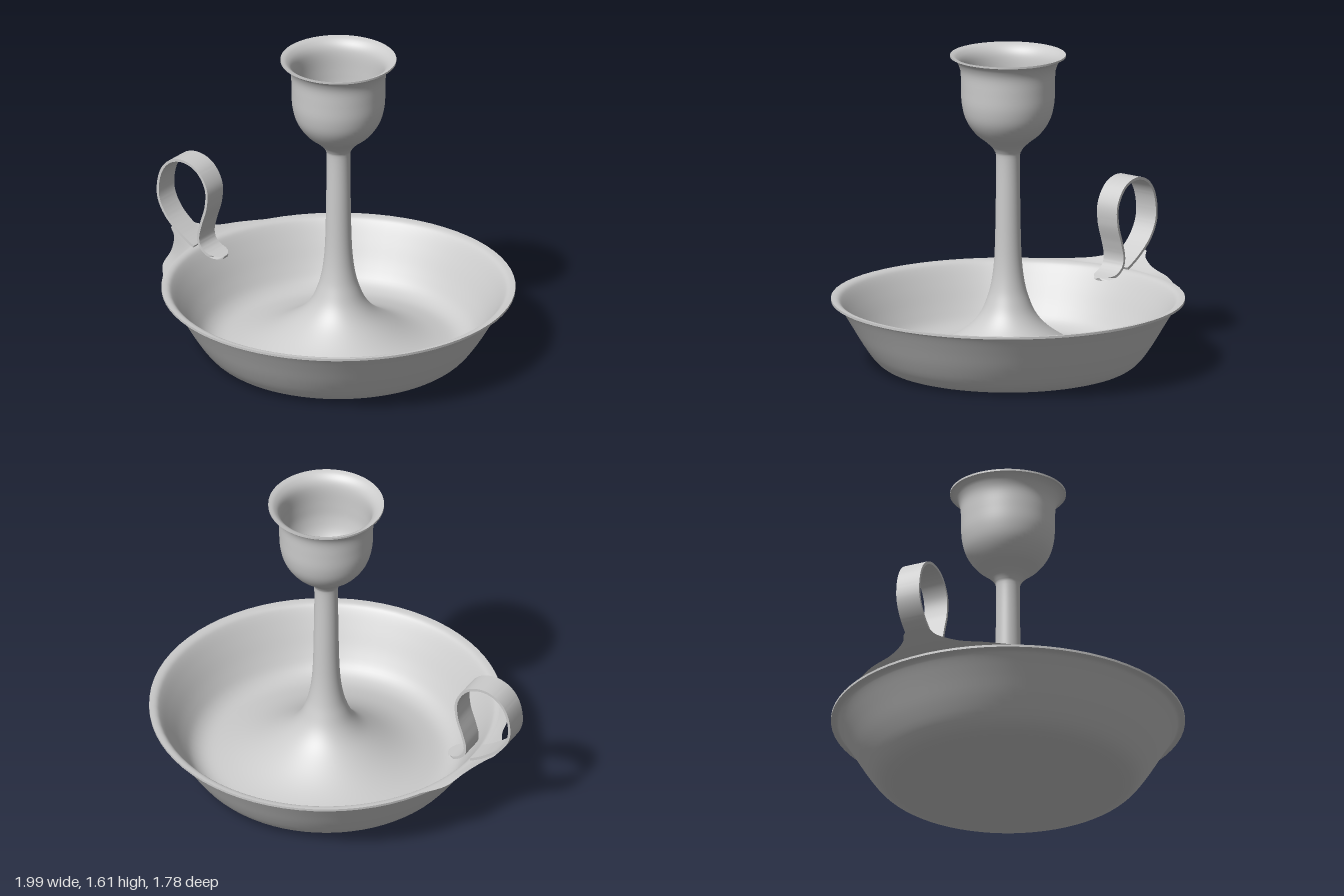
import * as THREE from 'three';
import { toCreasedNormals } from 'three/addons/utils/BufferGeometryUtils.js';
import { ParametricGeometry } from 'three/addons/geometries/ParametricGeometry.js';

const AXIS_X = 0.1; // the dish and stem stand off-centre, the handle balances them
const grey = new THREE.MeshStandardMaterial({ color: 0xcccccc });
const greyThin = new THREE.MeshStandardMaterial({ color: 0xcccccc, side: THREE.DoubleSide });

const vectors = (list) => list.map(([x, y]) => new THREE.Vector2(x, y));

// Turned surface from a profile of [radius, height]; smooth profiles run through a spline
function turned(name, profile, samples = 0) {
  let points = vectors(profile);
  if (samples) points = new THREE.SplineCurve(points).getPoints(samples);
  points.forEach((p) => { p.x = Math.max(p.x, 0); });
  const mesh = new THREE.Mesh(new THREE.LatheGeometry(points, 72), grey);
  mesh.name = name;
  mesh.position.x = AXIS_X;
  return mesh;
}

// Flared lip that sweeps from the dish rim up into the handle strip
function makeHandleLip() {
  const half = [
    [-0.665, 0.358, 0.45], [-0.765, 0.361, 0.32], [-0.805, 0.378, 0.2],
    [-0.84, 0.396, 0.13], [-0.87, 0.412, 0.09], [-0.905, 0.435, 0.064],
  ];
  const edgePoints = [...half, ...half.map(([x, y, z]) => [x, y, -z]).reverse()];
  const edge = new THREE.CatmullRomCurve3(edgePoints.map((p) => new THREE.Vector3(...p)), false, 'centripetal');
  const surface = (u, v, target) => {
    const outer = edge.getPoint(u);
    const angle = Math.atan2(outer.z, outer.x - AXIS_X);
    const innerX = AXIS_X + 0.875 * Math.cos(angle);
    const innerZ = 0.875 * Math.sin(angle);
    target.set(
      THREE.MathUtils.lerp(innerX, outer.x, v),
      THREE.MathUtils.lerp(0.358, outer.y, Math.pow(v, 1.25)),
      THREE.MathUtils.lerp(innerZ, outer.z, v),
    );
  };
  const mesh = new THREE.Mesh(new ParametricGeometry(surface, 66, 8), greyThin);
  mesh.name = 'handleLip';
  return mesh;
}

// Looped strip handle: a thin band along a curve, extruded across its width
function makeHandle() {
  const width = 0.13, thick = 0.014, steps = 140;
  const path = new THREE.SplineCurve(vectors([
    [-0.765, 0.362], [-0.85, 0.412], [-0.94, 0.49], [-0.988, 0.59], [-0.975, 0.71],
    [-0.92, 0.788], [-0.835, 0.815], [-0.745, 0.785], [-0.688, 0.7], [-0.688, 0.6],
    [-0.718, 0.5], [-0.735, 0.43], [-0.726, 0.38], [-0.685, 0.345], [-0.612, 0.325],
  ]));
  const sideA = [], sideB = [];
  for (let i = 0; i <= steps; i++) {
    const p = path.getPointAt(i / steps), t = path.getTangentAt(i / steps);
    const n = new THREE.Vector2(-t.y, t.x).multiplyScalar(thick / 2);
    sideA.push(p.clone().add(n));
    sideB.push(p.clone().sub(n));
  }
  const shape = new THREE.Shape([...sideA, ...sideB.reverse()]);
  const geometry = new THREE.ExtrudeGeometry(shape, { depth: width, bevelEnabled: false });
  geometry.translate(0, 0, -width / 2);
  // Round off the free end
  const pos = geometry.attributes.position;
  for (let i = 0; i < pos.count; i++) {
    const x = pos.getX(i);
    if (x > -0.675 && pos.getY(i) < 0.4) {
      const k = Math.min((x + 0.675) / 0.065, 1);
      pos.setZ(i, pos.getZ(i) * Math.max(Math.sqrt(1 - k * k), 0.12));
    }
  }
  const mesh = new THREE.Mesh(toCreasedNormals(geometry, 0.6), greyThin);
  mesh.name = 'handle';
  return mesh;
}

export function createModel() {
  const model = new THREE.Group();
  model.name = 'chamberCandlestick';

  // Dish
  model.add(turned('dishBase', [[0, 0], [0.58, 0]]));
  model.add(turned('dishOuterWall', [
    [0.58, 0], [0.63, 0.018], [0.68, 0.06], [0.74, 0.145], [0.8, 0.245], [0.845, 0.318], [0.865, 0.341], [0.892, 0.346],
  ], 28));
  model.add(turned('dishRim', [[0.892, 0.346], [0.892, 0.358]]));

  // Inside of the dish sweeps across the floor and up into the stem and cup
  model.add(turned('dishInsideStemAndCup', [
    [0.892, 0.358], [0.858, 0.352], [0.832, 0.325], [0.785, 0.25], [0.725, 0.15], [0.67, 0.08], [0.6, 0.05],
    [0.5, 0.06], [0.4, 0.09], [0.3, 0.14], [0.2, 0.21], [0.14, 0.28], [0.105, 0.36], [0.086, 0.43],
    [0.073, 0.52], [0.066, 0.64], [0.062, 0.85], [0.06, 1.07], [0.07, 1.12], [0.105, 1.16], [0.165, 1.21],
    [0.212, 1.28], [0.233, 1.36], [0.237, 1.45], [0.24, 1.53], [0.256, 1.575], [0.277, 1.598], [0.292, 1.604],
  ], 120));
  model.add(turned('cupRim', [[0.292, 1.604], [0.292, 1.614]]));
  model.add(turned('cupInside', [
    [0.292, 1.614], [0.265, 1.603], [0.24, 1.575], [0.228, 1.53], [0.225, 1.44], [0.22, 1.36],
    [0.198, 1.285], [0.15, 1.225], [0.08, 1.195], [0, 1.188],
  ], 40));

  model.add(makeHandleLip(), makeHandle());
  return model;
}
